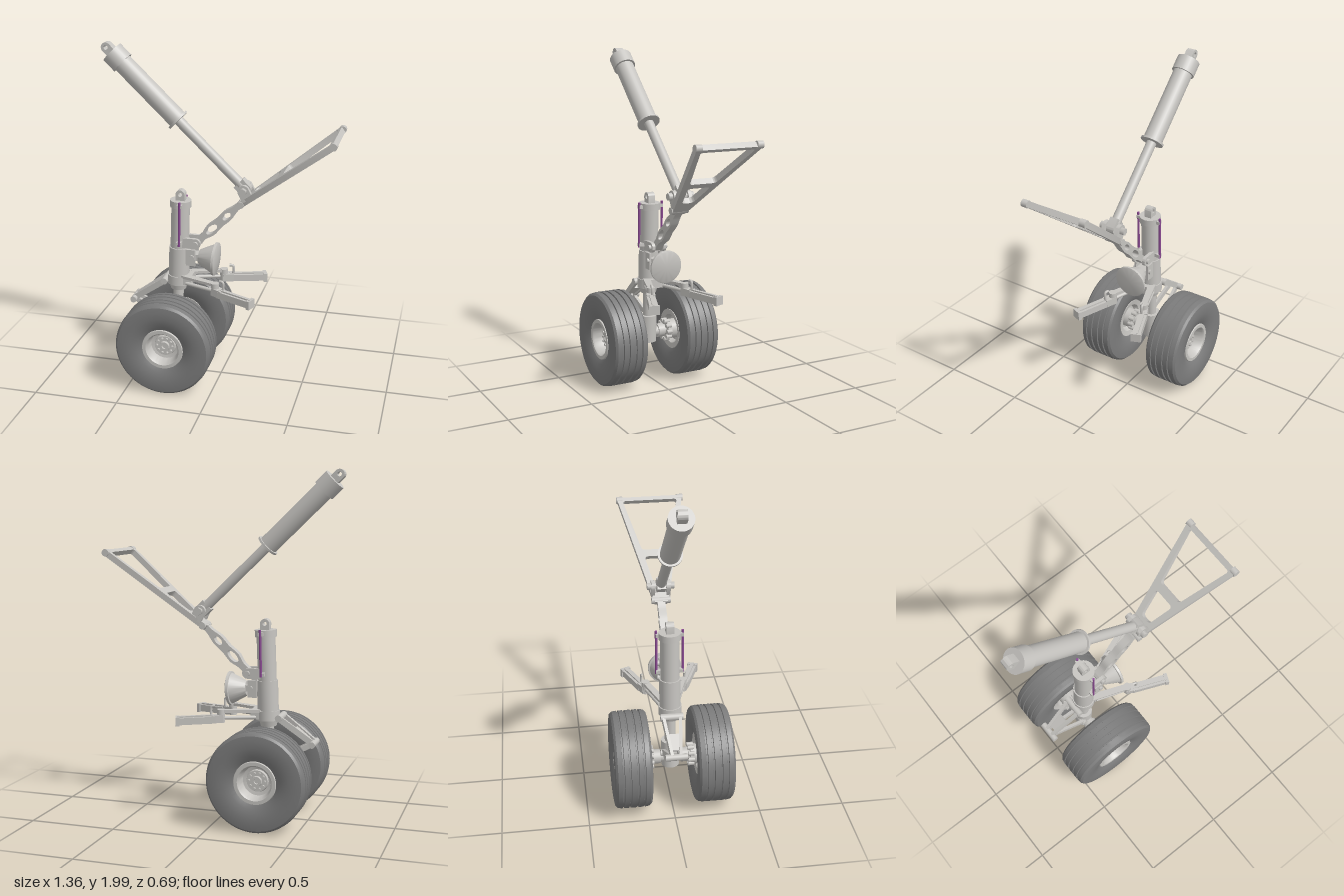
import * as THREE from 'three';
import { toCreasedNormals } from 'three/addons/utils/BufferGeometryUtils.js';

const mat = (name, color) => Object.assign(new THREE.MeshStandardMaterial({ color }), { name });
const metal = mat('lightMetal', 0xc6c4c0);
const rubber = mat('greyRubber', 0x7c7c7c);
const purple = mat('purplePipe', 0x8a4a92);

const V = (x, y, z = 0) => new THREE.Vector3(x, y, z);
const P = (x, y) => new THREE.Vector2(x, y);

export function createModel() {
  const root = new THREE.Group();
  root.name = 'landingGear';

  const add = (name, geo, m = metal, parent = root) => {
    const mesh = new THREE.Mesh(geo, m);
    mesh.name = name;
    parent.add(mesh);
    return mesh;
  };
  // Round rod from a to b
  const rod = (name, a, b, r0, r1 = r0, m = metal, seg = 28) => {
    const d = b.clone().sub(a);
    const mesh = add(name, new THREE.CylinderGeometry(r1, r0, d.length(), seg), m);
    mesh.position.copy(a).addScaledVector(d, 0.5);
    mesh.quaternion.setFromUnitVectors(V(0, 1, 0), d.normalize());
    return mesh;
  };
  // Pin across the model
  const pin = (name, x, y, z0, z1, r, seg = 20) => rod(name, V(x, y, z0), V(x, y, z1), r, r, metal, seg);
  // Rectangular beam from a to b
  const beam = (name, a, b, h, w) => {
    const d = b.clone().sub(a), mesh = add(name, new THREE.BoxGeometry(d.length(), h, w));
    mesh.position.copy(a).addScaledVector(d, 0.5);
    const x = d.normalize(), z = x.clone().cross(V(0, 1, 0)).normalize();
    mesh.quaternion.setFromRotationMatrix(new THREE.Matrix4().makeBasis(x, z.clone().cross(x), z));
    return mesh;
  };
  const box = (name, x, y, z, w, h, d) => {
    const mesh = add(name, new THREE.BoxGeometry(w, h, d));
    mesh.position.set(x, y, z);
    return mesh;
  };
  // Flat plate, centred on its thickness
  const plate = (name, shape, t) => {
    const g = new THREE.ExtrudeGeometry(shape, { depth: t, bevelEnabled: false, curveSegments: 16 });
    return add(name, toCreasedNormals(g.translate(0, 0, -t / 2), 0.6));
  };
  // Eye lug whose neck runs back from its hole
  const lug = (name, c, angle, r, len, t) => {
    const s = new THREE.Shape([P(-len, -r), P(0, -r)]);
    s.absarc(0, 0, r, -Math.PI / 2, Math.PI / 2, false);
    s.lineTo(-len, r);
    s.holes.push(new THREE.Path().absarc(0, 0, r * 0.45, 0, Math.PI * 2, true));
    const m = plate(name, s, t);
    m.position.copy(c);
    m.rotation.z = angle;
    return m;
  };
  // Polygon with rounded corners
  const rounded = (pts, r, path) => {
    pts.forEach((p, i) => {
      const prev = pts[(i + pts.length - 1) % pts.length], next = pts[(i + 1) % pts.length];
      const a = p.clone().add(prev.clone().sub(p).setLength(r));
      const b = p.clone().add(next.clone().sub(p).setLength(r));
      i ? path.lineTo(a.x, a.y) : path.moveTo(a.x, a.y);
      path.quadraticCurveTo(p.x, p.y, b.x, b.y);
    });
    path.closePath();
    return path;
  };
  const lathe = (pts, seg = 56) =>
    toCreasedNormals(new THREE.LatheGeometry(pts.map(p => P(...p)), seg), 0.55);

  // Wheels: grooved tyre, dished rim, hub bolts
  const AX = -0.272, AY = 0.288;
  const side = [[0.12, 0.08], [0.15, 0.098], [0.2, 0.107], [0.24, 0.108], [0.268, 0.104], [0.28, 0.092]];
  const tread = [];
  for (const y of [-0.06, -0.022, 0.022, 0.06])
    tread.push([0.284, y - 0.006], [0.276, y - 0.004], [0.276, y + 0.004], [0.284, y + 0.006]);
  const tyreProfile = [...side.map(([r, y]) => [r, -y]), ...tread, ...[...side].reverse()];
  const rimProfile = [[0, -0.05], [0.075, -0.05], [0.09, -0.08], [0.122, -0.086], [0.124, 0.08], [0.12, 0.09],
    [0.1, 0.09], [0.092, 0.08], [0.084, 0.025], [0.064, 0.02], [0.06, 0.035], [0.03, 0.035], [0.028, 0.05],
    [0.014, 0.05], [0.012, 0.04], [0, 0.04]];
  for (const s of [1, -1]) {
    const wheel = new THREE.Group();
    wheel.name = s > 0 ? 'frontWheel' : 'backWheel';
    wheel.position.set(AX, AY, s * 0.237);
    wheel.rotation.x = s * Math.PI / 2;
    root.add(wheel);
    add('tyre', lathe(tyreProfile, 72), rubber, wheel);
    add('rim', lathe(rimProfile), metal, wheel);
    for (let i = 0; i < 10; i++) {
      const a = i * Math.PI / 5;
      add('hubBolt', new THREE.CylinderGeometry(0.008, 0.008, 0.016, 8), metal, wheel)
        .position.set(Math.cos(a) * 0.046, 0.04, Math.sin(a) * 0.046);
      // Brake housing studs on the inboard side
      add('brakeStud', new THREE.CylinderGeometry(0.013, 0.013, 0.035, 10), metal, wheel)
        .position.set(Math.cos(a) * 0.058, -0.118, Math.sin(a) * 0.058);
    }
    pin('brakeHousing', AX, AY, s * 0.115, s * 0.19, 0.06);
    pin('axleCollar', AX, AY, s * 0.06, s * 0.1, 0.042);
  }
  pin('axle', AX, AY, -0.2, 0.2, 0.032);

  // Main strut, leaning slightly along its axis
  const strutAt = y => V(AX + 0.038 * (y - AY), y);
  const strutPart = (name, y0, y1, r, r1 = r) => rod(name, strutAt(y0), strutAt(y1), r, r1);
  strutPart('axleBlock', 0.235, 0.4, 0.052);
  strutPart('piston', 0.38, 0.6, 0.031);
  strutPart('glandNut', 0.545, 0.585, 0.046, 0.056);
  strutPart('steeringCollar', 0.58, 0.635, 0.067);
  strutPart('lowerCylinder', 0.6, 0.81, 0.061);
  strutPart('upperCylinder', 0.8, 1.07, 0.054);
  strutPart('strutCap', 1.06, 1.1, 0.063);
  lug('strutLug', V(-0.24, 1.135), Math.PI / 2, 0.027, 0.045, 0.045);
  for (const s of [1, -1]) {
    // Pipes along the strut
    rod('hydraulicPipe', V(-0.235, 0.835, s * 0.075), V(-0.228, 1.105, s * 0.075), 0.007, 0.007, purple, 10);
    box('pipeClamp', -0.23, 1.08, s * 0.063, 0.03, 0.02, 0.03);
    box('pipeClamp', -0.238, 0.85, s * 0.06, 0.03, 0.02, 0.035);
  }

  // Scissor links behind the strut
  const apex = V(-0.53, 0.46);
  for (const s of [1, -1]) {
    beam('upperTorqueArm', V(-0.335, 0.6, s * 0.05), V(-0.53, 0.46, s * 0.024), 0.034, 0.018);
    beam('lowerTorqueArm', V(-0.3, 0.34, s * 0.045), V(-0.53, 0.46, s * 0.024), 0.03, 0.018);
  }
  beam('upperTorqueWeb', V(-0.42, 0.539), V(-0.5, 0.482), 0.015, 0.06);
  pin('torqueUpperPin', -0.335, 0.6, -0.065, 0.065, 0.02);
  pin('torqueApexPin', apex.x, apex.y, -0.062, 0.062, 0.019);
  pin('torqueLowerPin', -0.305, 0.335, -0.06, 0.06, 0.02);

  // Retraction actuator
  const top = V(-0.658, 1.968), low = V(0.14, 1.197);
  const dir = low.clone().sub(top).normalize();
  const on = t => top.clone().addScaledVector(dir, t);
  const angle = Math.atan2(dir.y, dir.x);
  lug('actuatorTopLug', top, angle + Math.PI, 0.028, 0.06, 0.05);
  rod('actuatorCap', on(0.04), on(0.125), 0.067);
  rod('actuatorBody', on(0.12), on(0.57), 0.056);
  rod('actuatorFlange', on(0.56), on(0.572), 0.068);
  rod('actuatorRod', on(0.57), on(1.08), 0.029);
  lug('actuatorLowerLug', low, angle, 0.037, 0.05, 0.05);

  // Upper drag brace: A-shaped frame with two openings
  const knee = V(0.124, 1.112), braceEnd = V(0.658, 1.53);
  const u = braceEnd.clone().sub(knee).normalize();
  const frame = rounded([P(-0.02, -0.04), P(0.05, -0.058), P(0.685, -0.2), P(0.685, 0.2), P(0.05, 0.058),
    P(-0.02, 0.04)], 0.012, new THREE.Shape());
  frame.holes.push(
    rounded([P(0.11, -0.034), P(0.11, 0.034), P(0.28, 0.07), P(0.28, -0.07)], 0.025, new THREE.Path()),
    rounded([P(0.325, -0.08), P(0.325, 0.08), P(0.66, 0.165), P(0.66, -0.165)], 0.02, new THREE.Path()));
  const aFrame = plate('upperDragBrace', frame, 0.034);
  aFrame.position.copy(knee);
  aFrame.quaternion.setFromRotationMatrix(
    new THREE.Matrix4().makeBasis(u, V(0, 0, 1), u.clone().cross(V(0, 0, 1))));
  for (const s of [1, -1]) {
    pin('braceEndBoss', braceEnd.x, braceEnd.y, s * 0.165, s * 0.202, 0.021);
    lug('actuatorClevis', V(low.x, low.y, s * 0.045), Math.atan2(0.07, -0.035), 0.034, 0.06, 0.022);
    pin('clevisNut', low.x, low.y, s * 0.055, s * 0.08, 0.022, 6);
  }
  pin('actuatorPin', low.x, low.y, -0.075, 0.075, 0.016);
  pin('kneePin', knee.x, knee.y, -0.055, 0.055, 0.02);

  // Lower drag brace: lightened link
  const foot = V(-0.145, 0.848), L = foot.distanceTo(knee);
  const edge = [[0, 0.022], [0.06, 0.02], [0.12, 0.034], [0.19, 0.028], [0.26, 0.031], [0.33, 0.018], [L, 0.018]];
  const link = new THREE.Shape();
  link.moveTo(0, -0.022);
  link.splineThru(edge.slice(1).map(([x, y]) => P(x, -y)));
  link.absarc(L, 0, 0.018, -Math.PI / 2, Math.PI / 2, false);
  link.splineThru([...edge].reverse().slice(1).map(([x, y]) => P(x, y)));
  link.absarc(0, 0, 0.022, Math.PI / 2, Math.PI * 1.5, false);
  for (const [x, rx, ry] of [[0.13, 0.042, 0.02], [0.255, 0.03, 0.017]])
    link.holes.push(new THREE.Path().absellipse(x, 0, rx, ry, 0, Math.PI * 2, true));
  const lower = plate('lowerDragBrace', link, 0.046);
  lower.position.copy(foot);
  lower.rotation.z = Math.atan2(knee.y - foot.y, knee.x - foot.x);
  for (const s of [1, -1]) lug('strutBracket', V(foot.x, foot.y, s * 0.036), 0, 0.03, 0.08, 0.02);
  pin('footPin', foot.x, foot.y, -0.06, 0.06, 0.016);

  // Taxi lamp and its bracket
  const lamp = add('taxiLamp', lathe([[0, 0], [0.042, 0], [0.05, 0.012], [0.088, 0.088], [0.098, 0.09],
    [0.099, 0.104], [0.09, 0.108], [0, 0.112]], 40));
  lamp.position.set(-0.132, 0.755, 0);
  lamp.rotation.z = -Math.PI / 2 - 0.06;
  box('lampBracket', -0.165, 0.76, 0, 0.08, 0.035, 0.07);
  for (const s of [1, -1]) {
    box('lampBracketCheek', -0.175, 0.76, s * 0.042, 0.055, 0.1, 0.014);
    pin('lampBracketBolt', -0.165, 0.765, s * 0.04, s * 0.06, 0.014);
  }

  // Side arms splayed forward, one on each side
  for (const s of [1, -1]) {
    const brace = plate('armSupportPlate', new THREE.Shape(
      [P(-0.24, 0.05), P(-0.17, 0.03), P(0.01, 0.1), P(-0.01, 0.13)].map(p => P(p.x, -p.y * s))
    ), 0.016);
    brace.rotation.x = -Math.PI / 2;
    brace.position.y = 0.635;
    rod('armLinkRod', V(-0.2, 0.597, s * 0.05), V(-0.02, 0.595, s * 0.11), 0.011);
    rod('armPivot', V(-0.01, 0.57, s * 0.112), V(-0.01, 0.645, s * 0.112), 0.024);
    beam('armRoot', V(-0.02, 0.595, s * 0.108), V(0.04, 0.59, s * 0.135), 0.045, 0.05);
    const a = V(0.02, 0.588, s * 0.128), b = V(0.222, 0.58, s * 0.208);
    beam('sideArm', a, b, 0.04, 0.05);
    const up = V(0, 0.022, 0);
    beam('armRail', a.clone().add(up), b.clone().add(up), 0.012, 0.02);
    beam('armEndCap', V(0.21, 0.58, s * 0.203), V(0.23, 0.58, s * 0.211), 0.052, 0.06);
    // Hook on the arm pivot
    const hook = new THREE.CatmullRomCurve3([V(0.04, 0.6, s * 0.13), V(0.045, 0.64, s * 0.13),
      V(0.04, 0.662, s * 0.13), V(0.02, 0.665, s * 0.125)]);
    add('armHook', new THREE.TubeGeometry(hook, 14, 0.008, 8));
  }
  box('armMount', -0.195, 0.615, 0, 0.05, 0.055, 0.11);

  return root;
}
